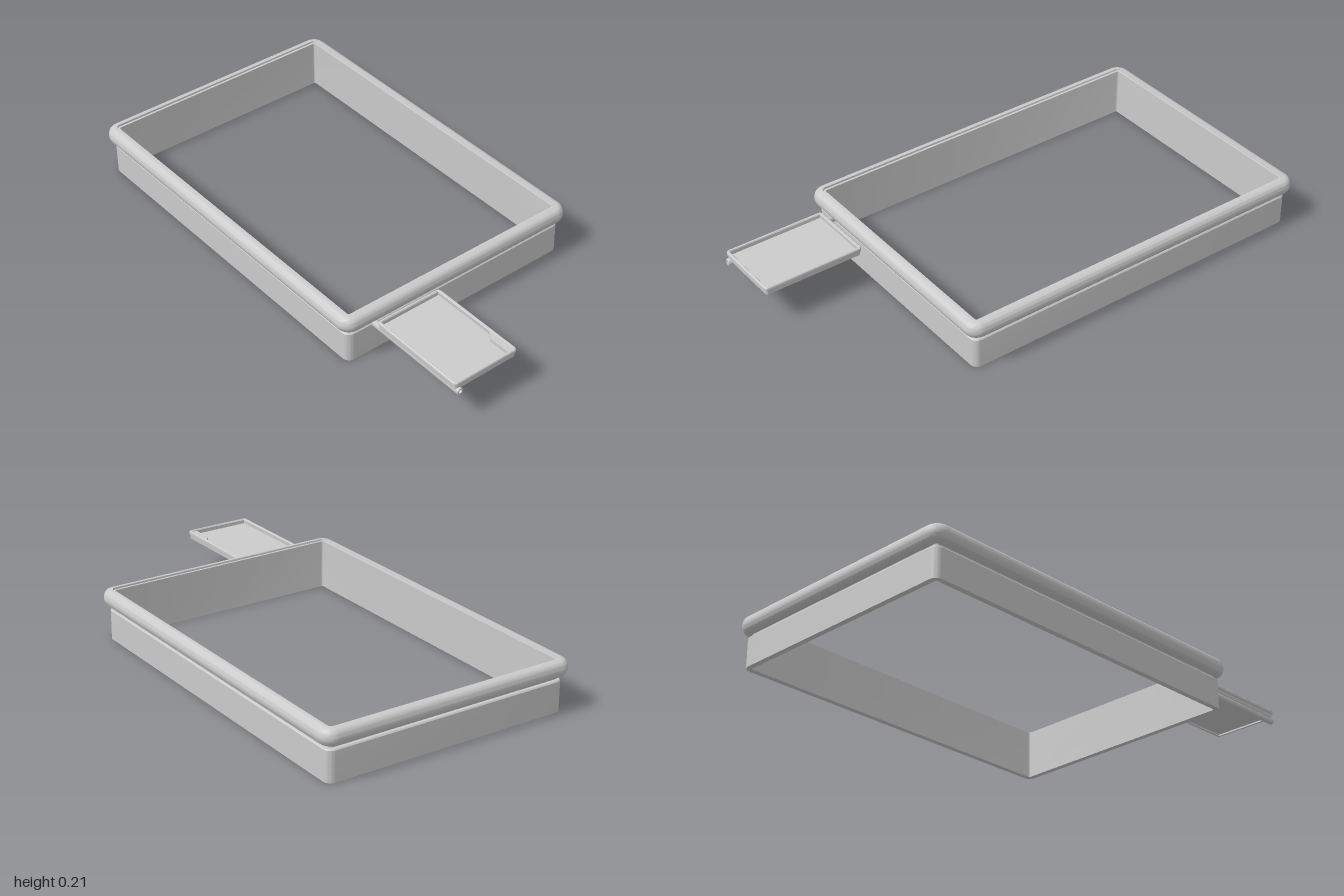
import * as THREE from 'three';
import { toCreasedNormals } from 'three/addons/utils/BufferGeometryUtils.js';

const material = new THREE.MeshStandardMaterial({ color: 0xcccccc });

function part(name, geometry, x = 0, y = 0, z = 0) {
  const mesh = new THREE.Mesh(toCreasedNormals(geometry, 0.6), material);
  mesh.name = name;
  mesh.position.set(x, y, z);
  return mesh;
}

// Sweeps a closed profile of [outward offset, height] round a rounded rectangle.
function sweepRectangle(halfX, halfZ, radius, profile, steps = 8) {
  const positions = [], index = [], n = profile.length;
  for (let corner = 0; corner < 4; corner++) {
    const sx = corner === 0 || corner === 3 ? 1 : -1;
    const sz = corner < 2 ? 1 : -1;
    for (let i = 0; i <= steps; i++) {
      const a = (corner + i / steps) * Math.PI / 2;
      for (const [d, y] of profile) {
        positions.push(
          sx * (halfX - radius) + (radius + d) * Math.cos(a), y,
          sz * (halfZ - radius) + (radius + d) * Math.sin(a));
      }
    }
  }
  const rings = 4 * (steps + 1);
  for (let i = 0; i < rings; i++) {
    for (let j = 0; j < n; j++) {
      const k = (j + 1) % n, next = (i + 1) % rings;
      const a = i * n + j, b = i * n + k, c = next * n + k, d = next * n + j;
      index.push(a, b, d, b, c, d);
    }
  }
  const geometry = new THREE.BufferGeometry();
  geometry.setAttribute('position', new THREE.Float32BufferAttribute(positions, 3));
  geometry.setIndex(index);
  return geometry;
}

export function createModel() {
  const model = new THREE.Group();
  model.name = 'frameWithSideTray';

  // Thin-walled body, with a groove just below the rim
  const body = [
    [0, 0], [0, 0.12], [-0.004, 0.125], [-0.016, 0.125], [-0.016, 0.145],
    [-0.012, 0.2], [-0.022, 0.2], [-0.022, 0],
  ];
  model.add(part('body', sweepRectangle(0.7525, 0.515, 0.03, body), -0.2225));

  // Bulging rim with a small step on its inner edge
  const rim = [[-0.018, 0.139], [0, 0.139]];
  for (let i = 0; i <= 12; i++) {
    const a = (i / 12 - 0.5) * Math.PI * 0.88;
    rim.push([0.002 + 0.023 * Math.cos(a), 0.173 + 0.032 * Math.sin(a)]);
  }
  rim.push([0, 0.207], [-0.011, 0.207], [-0.013, 0.199], [-0.018, 0.199]);
  model.add(part('rim', sweepRectangle(0.7525, 0.515, 0.03, rim), -0.2225));

  const tray = new THREE.Group();
  tray.name = 'sideTray';
  model.add(tray);

  // Tray border with a rounded lip
  const lip = [
    [-0.005, 0.142], [-0.005, 0.157], [-0.001, 0.159], [0, 0.165], [-0.001, 0.171],
    [-0.004, 0.174], [-0.01, 0.174], [-0.013, 0.17], [-0.013, 0.142],
  ];
  tray.add(part('trayBorder', sweepRectangle(0.21, 0.145, 0.016, lip, 5), 0.785, 0, 0.275));

  // Tray floor
  tray.add(part('trayFloor', new THREE.BoxGeometry(0.4, 0.007, 0.27), 0.785, 0.152, 0.275));

  // Raised ledge in the back corner with a sloped end
  const outline = new THREE.Shape([[0.86, -0.141], [0.89, -0.166], [0.984, -0.166], [0.984, -0.141]]
    .map(([x, y]) => new THREE.Vector2(x, y)));
  const ledge = new THREE.ExtrudeGeometry(outline, { depth: 0.015, bevelEnabled: false });
  ledge.rotateX(-Math.PI / 2);
  tray.add(part('trayLedge', ledge, 0, 0.154, 0));

  // Hollow hinge rod carrying the tray
  const wall = [[0.007, 0], [0.0125, 0], [0.0135, 0.002], [0.0135, 0.476], [0.0125, 0.478],
    [0.007, 0.478], [0.007, 0]].map(([r, y]) => new THREE.Vector2(r, y));
  const rod = new THREE.LatheGeometry(wall, 24);
  rod.rotateZ(-Math.PI / 2);
  tray.add(part('hingeRod', rod, 0.522, 0.134, 0.4));

  return model;
}
